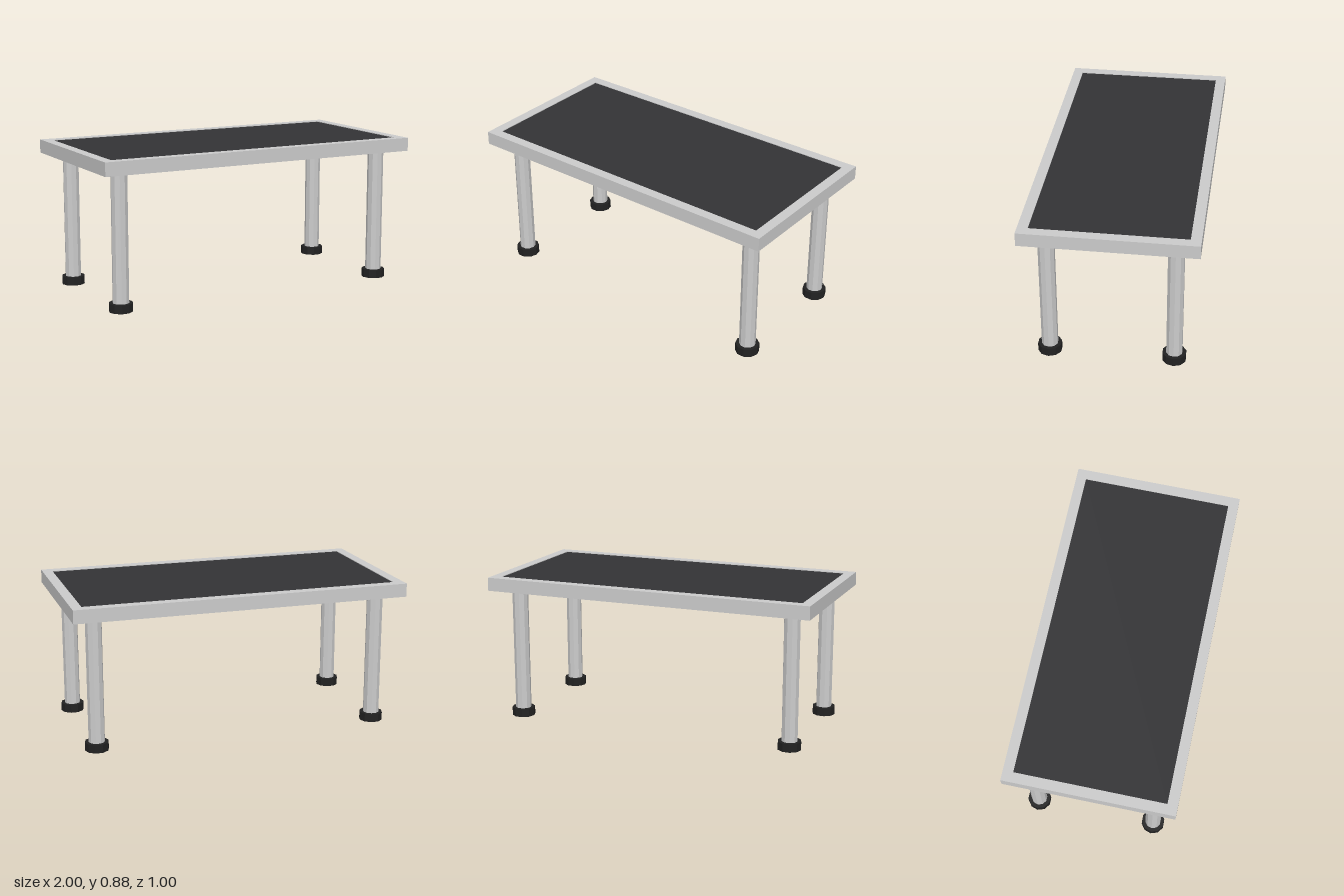
import * as THREE from 'three';

const FRAME_BOTTOM = 0.8, FRAME_HEIGHT = 0.08, BORDER = 0.06;

export function createModel() {
  const table = new THREE.Group();
  table.name = 'table';

  const grey = new THREE.MeshStandardMaterial({ color: 0xcccccc, flatShading: true });
  const panelDark = new THREE.MeshStandardMaterial({ color: 0x333335 });
  const rubber = new THREE.MeshStandardMaterial({ color: 0x222222, flatShading: true });

  const add = (parent, name, geometry, material, y) => {
    const mesh = new THREE.Mesh(geometry, material);
    mesh.name = name;
    mesh.position.y = y;
    parent.add(mesh);
  };

  // Rectangular outline centred on the origin
  const rectangle = (Type, w, d) => new Type([
    new THREE.Vector2(-w / 2, -d / 2), new THREE.Vector2(w / 2, -d / 2),
    new THREE.Vector2(w / 2, d / 2), new THREE.Vector2(-w / 2, d / 2),
  ]);

  // Frame: a flat rim around the top
  const rim = rectangle(THREE.Shape, 2, 1);
  rim.holes.push(rectangle(THREE.Path, 2 - 2 * BORDER, 1 - 2 * BORDER));
  const frame = new THREE.ExtrudeGeometry(rim, { depth: FRAME_HEIGHT, bevelEnabled: false });
  frame.rotateX(-Math.PI / 2);
  add(table, 'topFrame', frame, grey, FRAME_BOTTOM);

  // Dark panel, set very slightly into the frame
  const panel = new THREE.BoxGeometry(2 - 2 * BORDER, FRAME_HEIGHT - 0.008, 1 - 2 * BORDER);
  add(table, 'topPanel', panel, panelDark, FRAME_BOTTOM + FRAME_HEIGHT / 2);

  // Ten-sided legs with a corner facing sideways, each on a wider foot
  const post = new THREE.CylinderGeometry(0.048, 0.048, 0.76, 10).rotateY(Math.PI / 2);
  const pad = new THREE.CylinderGeometry(0.07, 0.07, 0.05, 10).rotateY(Math.PI / 2);
  for (const [xName, x] of [['Left', 0.86], ['Right', -0.86]]) {
    for (const [zName, z] of [['front', 0.36], ['back', -0.36]]) {
      const leg = new THREE.Group();
      leg.name = `${zName}${xName}Leg`;
      leg.position.set(x, 0, z);
      add(leg, 'post', post, grey, 0.43);
      add(leg, 'foot', pad, rubber, 0.025);
      table.add(leg);
    }
  }

  return table;
}
